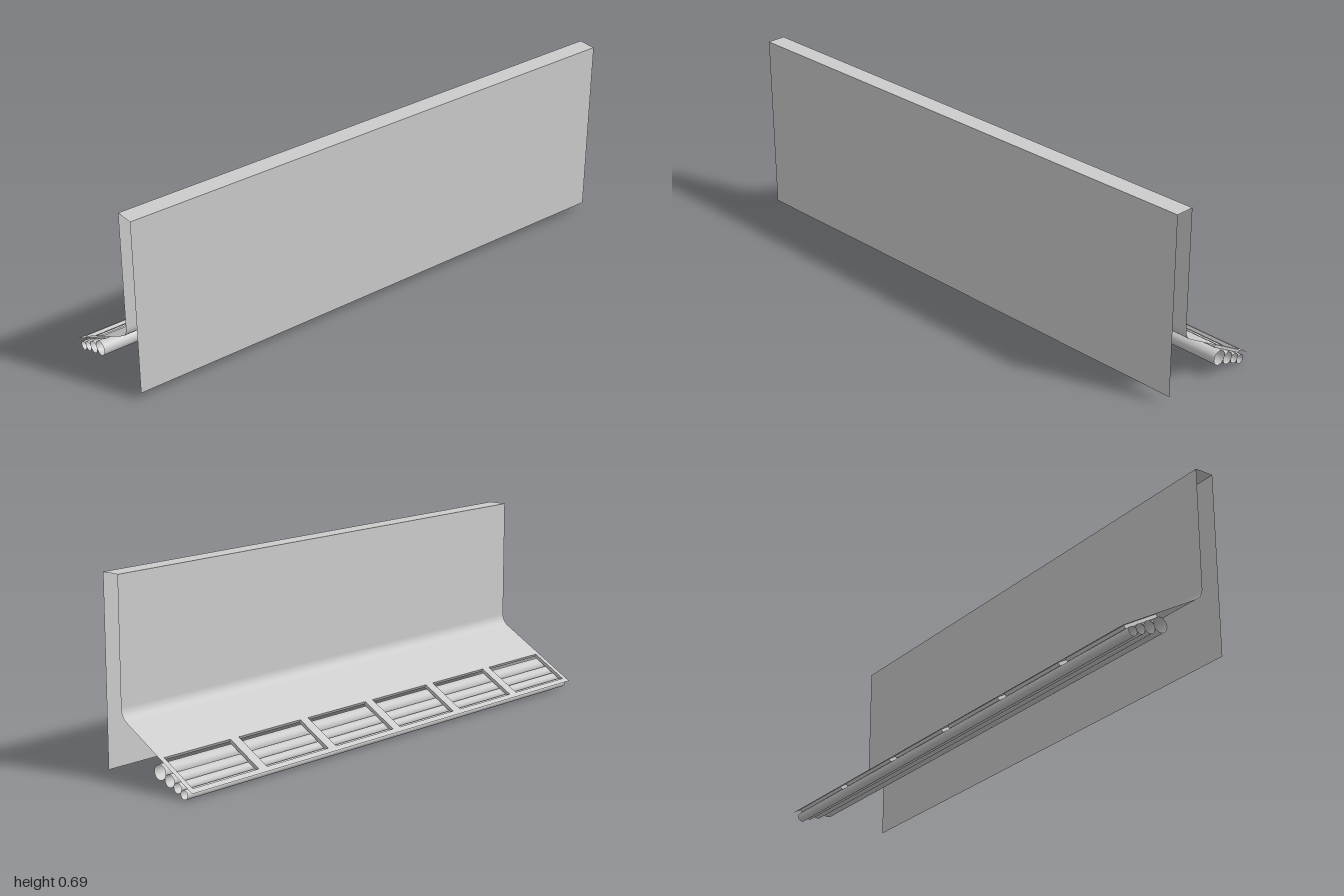
import * as THREE from 'three';

const mat = new THREE.MeshStandardMaterial({ color: 0xcccccc, side: THREE.DoubleSide });
const SLOPE = Math.PI / 6;
const FOOT = new THREE.Vector2(-0.2, 0.028); // low edge of the ramp
const TOP = 0.69, INNER = 0.13, OUTER = 0.2;
const BEND = 0.03; // tangent length of the rounded bend

function add(parent, geometry, name) {
  const mesh = new THREE.Mesh(geometry, mat);
  mesh.name = name;
  parent.add(mesh);
  return mesh;
}

// Thin sheet: an (x, y) profile swept along the whole length in z
function sheet(points, smooth = true) {
  let g = new THREE.PlaneGeometry(1, 1, points.length - 1, 1);
  const p = g.attributes.position;
  points.forEach(([x, y], i) => {
    p.setXYZ(i, x, y, -1);
    p.setXYZ(i + points.length, x, y, 1);
  });
  if (!smooth) g = g.toNonIndexed();
  g.computeVertexNormals();
  return g;
}

// Open ring of four walls lining a rectangular slot
function slotWalls(u0, u1, z0, z1, depth) {
  const ring = [[u0, z0], [u1, z0], [u1, z1], [u0, z1], [u0, z0]];
  const g = new THREE.PlaneGeometry(1, 1, 4, 1);
  ring.forEach(([u, z], i) => {
    g.attributes.position.setXYZ(i, u, 0, z);
    g.attributes.position.setXYZ(i + 5, u, -depth, z);
  });
  const flat = g.toNonIndexed();
  flat.computeVertexNormals();
  return flat;
}

export function createModel() {
  const model = new THREE.Group();
  model.name = 'wallGutter';

  // Upright wall: outer face and top
  add(model, sheet([[INNER, TOP], [OUTER, TOP], [OUTER, FOOT.y]], false), 'outerWallAndTop');

  // Inner wall, curving smoothly into the ramp
  const cornerY = FOOT.y + (INNER - FOOT.x) * Math.tan(SLOPE);
  const radius = BEND / Math.tan(Math.PI / 6);
  const bend = [];
  for (let i = 0; i <= 8; i++) {
    const a = -SLOPE * 2 * (1 - i / 8);
    bend.push([INNER - radius + radius * Math.cos(a), cornerY + BEND + radius * Math.sin(a)]);
  }
  add(model, sheet([...bend, [INNER, TOP]]), 'innerWall');

  // Sloping ramp; local x runs up the slope, local y is its normal
  const ramp = new THREE.Group();
  ramp.name = 'ramp';
  ramp.position.set(FOOT.x, FOOT.y, 0);
  ramp.rotation.z = SLOPE;
  model.add(ramp);

  const length = (INNER - FOOT.x) / Math.cos(SLOPE) - BEND;
  const plate = new THREE.Shape([[0, -1], [length, -1], [length, 1], [0, 1]]
    .map(([x, y]) => new THREE.Vector2(x, y)));
  const u0 = 0.02, u1 = 0.172, depth = 0.012, half = 0.1475;
  for (let i = 0; i < 6; i++) {
    const z = (i - 2.5) / 3;
    const corners = [[u0, z - half], [u0, z + half], [u1, z + half], [u1, z - half]];
    plate.holes.push(new THREE.Path(corners.map(([x, y]) => new THREE.Vector2(x, y))));
    add(ramp, slotWalls(u0, u1, z - half, z + half, depth), 'slotWalls');
  }
  add(ramp, new THREE.ShapeGeometry(plate).rotateX(-Math.PI / 2), 'slottedPlate');

  // Open pipes side by side under the slots, growing up the slope
  const radii = [0.0165, 0.018, 0.022, 0.027];
  let u = 0.0264;
  radii.forEach((r, i) => {
    if (i) u += 2 * Math.sqrt(r * radii[i - 1]);
    const pipe = add(ramp, new THREE.CylinderGeometry(r, r, 2, 24, 1, true), 'pipe');
    pipe.rotation.x = Math.PI / 2;
    pipe.position.set(u, -depth - r, 0);
  });

  return model;
}
